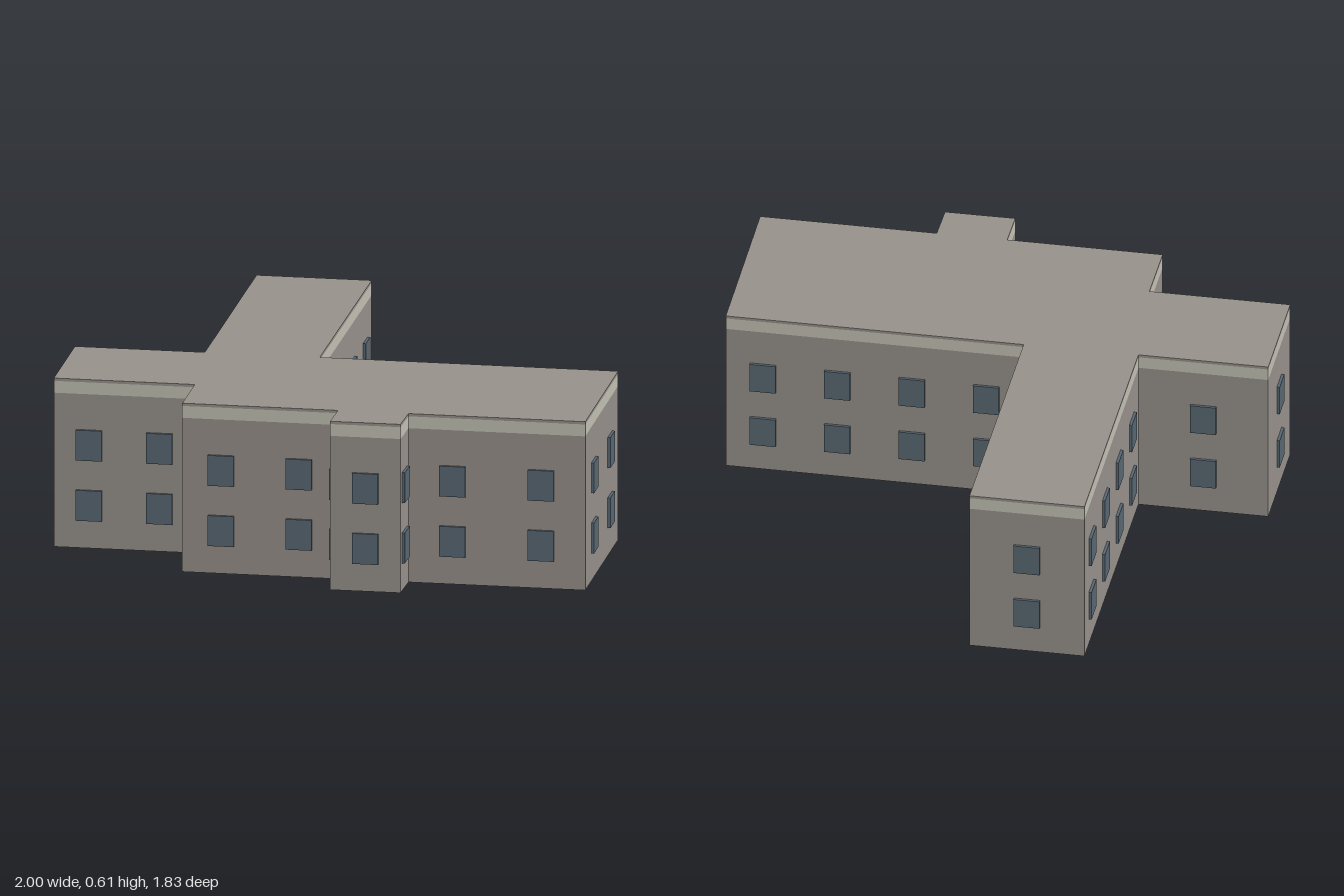
import * as THREE from 'three';

// Building outline as [x, z], in order around the footprint
const OUTLINE = [
  [-0.675, -0.868], [-0.27, -0.92], [-0.14, 0.11], [0.91, -0.022],
  [1.0, 0.655], [0.378, 0.734], [0.394, 0.88], [0.147, 0.913],
  [0.13, 0.767], [-0.418, 0.836], [-0.449, 0.586], [-0.945, 0.65],
  [-1.0, 0.225], [-0.543, 0.166],
];

const material = (name, color) => {
  const m = new THREE.MeshStandardMaterial({ color });
  m.name = name;
  return m;
};

// Horizontal slice of the building between two heights
function slab(name, mat, y0, y1) {
  const shape = new THREE.Shape(OUTLINE.map(([x, z]) => new THREE.Vector2(x, -z)));
  const geo = new THREE.ExtrudeGeometry(shape, { depth: y1 - y0, bevelEnabled: false });
  geo.rotateX(-Math.PI / 2);
  const mesh = new THREE.Mesh(geo, mat);
  mesh.name = name;
  mesh.position.y = y0;
  return mesh;
}

export function createModel() {
  const model = new THREE.Group();
  model.name = 'building';
  const stone = material('grey stone', 0x99938d);
  const trim = material('pale trim', 0xc6c4b7);
  const glass = material('blue grey glass', 0x5a6974);

  // Walls, pale band under the roof edge, thin roof cap
  model.add(slab('walls', stone, 0, 0.557));
  model.add(slab('trimBand', trim, 0.557, 0.6));
  model.add(slab('roof', stone, 0.6, 0.61));

  // Two storeys of windows, evenly spaced along every wall
  const windows = new THREE.Group();
  windows.name = 'windows';
  const pane = new THREE.BoxGeometry(0.092, 0.11, 0.02);
  OUTLINE.forEach(([x0, z0], i) => {
    const [x1, z1] = OUTLINE[(i + 1) % OUTLINE.length];
    const dx = x1 - x0, dz = z1 - z0;
    const count = Math.max(1, Math.floor(Math.hypot(dx, dz) / 0.24));
    for (let k = 0; k < count; k++) {
      const t = (k + 0.5) / count;
      for (const y of [0.155, 0.373]) {
        const win = new THREE.Mesh(pane, glass);
        win.name = 'window';
        win.position.set(x0 + dx * t, y, z0 + dz * t);
        win.rotation.y = Math.atan2(dz, -dx);
        windows.add(win);
      }
    }
  });
  model.add(windows);
  return model;
}
